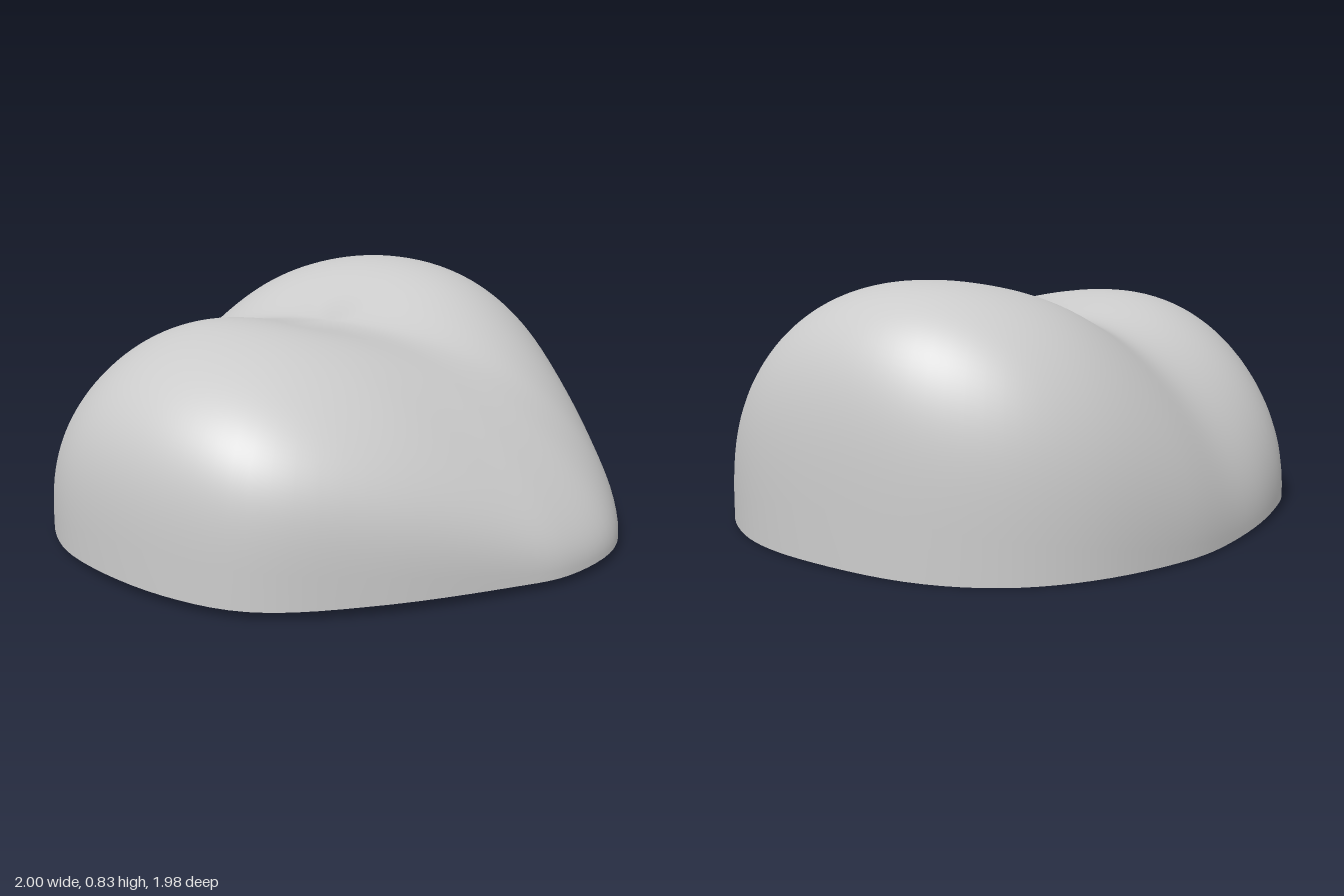
import * as THREE from 'three';

const material = new THREE.MeshStandardMaterial({ color: 0xcccccc, side: THREE.DoubleSide });

// Rounded, slightly lopsided footprint as x, z pairs
const outline = new THREE.CatmullRomCurve3([
  [0.995, -0.08], [0.97, 0.16], [0.91, 0.4], [0.8, 0.64], [0.62, 0.86], [0.38, 0.97],
  [0.16, 0.985], [-0.26, 0.95], [-0.62, 0.83], [-0.825, 0.61], [-0.96, 0.31], [-1, 0.04],
  [-0.94, -0.27], [-0.78, -0.5], [-0.56, -0.71], [-0.3, -0.89], [0.02, -0.99],
  [0.3, -0.97], [0.58, -0.835], [0.815, -0.58], [0.95, -0.32],
].map(([x, z]) => new THREE.Vector3(x, 0, z)), true);

// Crown height: a slope rising along u with a short valley across its middle
function topHeight(x, z) {
  const u = (x - z) * Math.SQRT1_2;
  const v = (x + z) * Math.SQRT1_2;
  const valley = 0.11 * Math.exp(-((u / 0.3) ** 2) - ((v - 0.05) / 0.55) ** 2);
  const lowLobeTilt = 0.15 * v * THREE.MathUtils.smoothstep(-u, -0.2, 0.5);
  return 0.797 + 0.115 * u - 0.25 * v * v - valley - lowLobeTilt;
}

// Open-bottomed shell built from rings running from the crown to the rim
function shellGeometry(rings = 40, segments = 112) {
  const positions = [0, topHeight(0, 0), 0];
  const index = [];
  for (let i = 1; i <= rings; i++) {
    const t = (i / rings) * Math.PI / 2;
    for (let j = 0; j < segments; j++) {
      const p = outline.getPoint(j / segments);
      // Square shoulders at the lobes, softer slopes between them
      const n = 2 + (p.x - p.z) ** 2 / p.lengthSq();
      const s = Math.sin(t) ** (2 / n);
      const fall = Math.max(Math.cos(t), 0) ** (2 / n);
      const x = p.x * s, z = p.z * s;
      const angle = (j / segments) * Math.PI * 2;
      const base = 0.021 + 0.012 * p.z - 0.006 * p.x + 0.003 * Math.sin(angle * 7);
      positions.push(x, base + (topHeight(x, z) - base) * fall, z);

      const k = (j + 1) % segments;
      const outer = 1 + (i - 1) * segments;
      if (i === 1) {
        index.push(0, outer + k, outer + j);
      } else {
        const inner = outer - segments;
        index.push(inner + j, inner + k, outer + j, inner + k, outer + k, outer + j);
      }
    }
  }
  const geometry = new THREE.BufferGeometry();
  geometry.setAttribute('position', new THREE.Float32BufferAttribute(positions, 3));
  geometry.setIndex(index);
  geometry.computeVertexNormals();
  return geometry;
}

export function createModel() {
  const group = new THREE.Group();
  group.name = 'saddleShell';

  const shell = new THREE.Mesh(shellGeometry(), material);
  shell.name = 'shell';
  group.add(shell);

  // Pair of shallow cups, open downwards, inside the hollow
  const radius = 0.143, height = 0.075;
  const wallGeometry = new THREE.CylinderGeometry(radius, radius, height, 32, 1, true);
  const capGeometry = new THREE.CircleGeometry(radius, 32).rotateX(-Math.PI / 2);
  [['firstCup', 0.127, -0.063], ['secondCup', -0.072, -0.308]].forEach(([name, x, z]) => {
    const cup = new THREE.Group();
    cup.name = name;
    const wall = new THREE.Mesh(wallGeometry, material);
    wall.name = 'cupWall';
    const cap = new THREE.Mesh(capGeometry, material);
    cap.name = 'cupTop';
    cap.position.y = height / 2;
    cup.add(wall, cap);
    cup.position.set(x, 0.13, z);
    group.add(cup);
  });
  return group;
}
